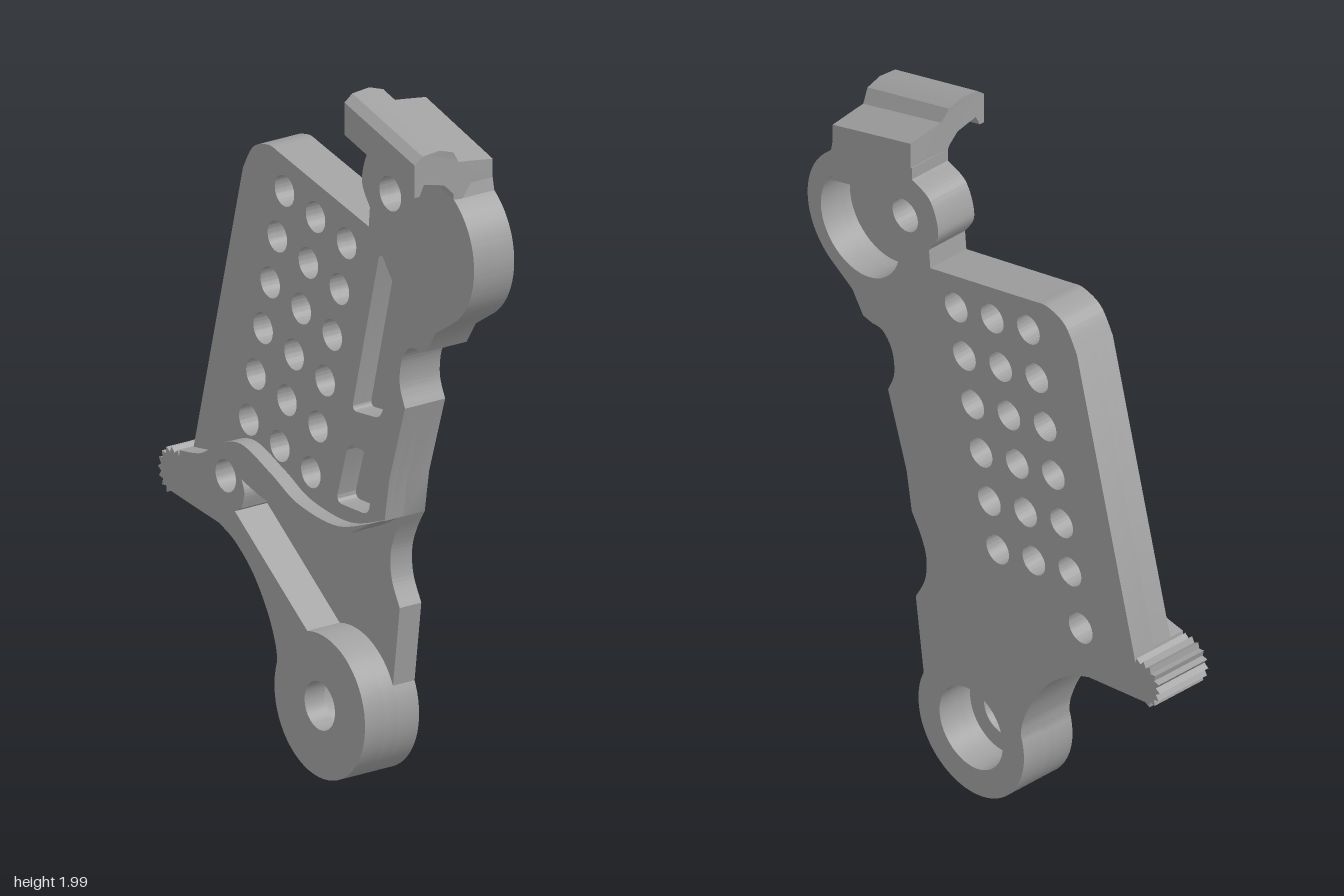
import * as THREE from 'three';
import { toCreasedNormals } from 'three/addons/utils/BufferGeometryUtils.js';

const BOSS = [0.045, 0.208], HEAD = [0.455, 1.595], PIVOT = [-0.37, 0.725], TOP_HOLE = [0.295, 1.7];
const v = (pts) => pts.map(([x, y]) => new THREE.Vector2(x, y));

const lines = (s, pts) => pts.forEach(([x, y]) => s.lineTo(x, y));

function circle([x, y], r) {
  const p = new THREE.Path();
  p.absarc(x, y, r, 0, Math.PI * 2, true);
  return p;
}

// Polygon with rounded corners, used for the pockets
function rounded(pts, r) {
  const p = new THREE.Path(), q = v(pts), n = q.length;
  q.forEach((c, i) => {
    const toward = (o) => c.clone().add(o.clone().sub(c).setLength(r));
    const a = toward(q[(i + n - 1) % n]), b = toward(q[(i + 1) % n]);
    if (i === 0) p.moveTo(a.x, a.y); else p.lineTo(a.x, a.y);
    p.quadraticCurveTo(c.x, c.y, b.x, b.y);
  });
  p.closePath();
  return p;
}

// Serrated end of the tab, running from its top round to its underside
function teeth(s) {
  const n = 18;
  for (let i = 0; i <= n; i++) {
    const a = THREE.MathUtils.degToRad(65 + (190 * i) / n), r = i % 2 ? 0.07 : 0.056;
    s.lineTo(-0.6 + r * Math.cos(a), 0.665 + r * Math.sin(a));
  }
}

// Concave underside from the tab down to the lower boss
function underside(s) {
  s.moveTo(-0.4, 0.585);
  s.splineThru(v([[-0.33, 0.555], [-0.25, 0.49], [-0.185, 0.4], [-0.15, 0.32], [-0.143, 0.275]]));
}

// Right edge of the arm, the head and the perforated plate
function upperEdge(s) {
  lines(s, [[0.29, 0.9], [0.36, 1.12]]);
  s.splineThru(v([[0.337, 1.18], [0.345, 1.25], [0.38, 1.295], [0.42, 1.3]]));
  lines(s, [[0.455, 1.307], [0.495, 1.37]]);
  s.absarc(...HEAD, 0.21, -0.95, 0.95, false);
  lines(s, [[0.57, 1.8], [0.27, 1.86], [0.27, 1.825]]);
  s.splineThru(v([[0.2, 1.79], [0.17, 1.7], [0.205, 1.635]]));
  lines(s, [[0.2, 1.58], [-0.2, 1.669]]);
  s.splineThru(v([[-0.245, 1.675], [-0.31, 1.65], [-0.355, 1.58]]));
  s.lineTo(-0.573, 0.735);
}

function backOutline() {
  const s = new THREE.Shape();
  underside(s);
  s.absarc(...BOSS, 0.2, 2.8, Math.PI * 2 + 0.45, false);
  s.lineTo(0.255, 0.52);
  s.splineThru(v([[0.22, 0.59], [0.215, 0.66], [0.235, 0.72], [0.27, 0.78]]));
  upperEdge(s);
  teeth(s);
  s.closePath();
  return s;
}

function upperOutline() {
  const s = new THREE.Shape();
  s.moveTo(0.27, 0.78);
  upperEdge(s);
  lines(s, [[-0.45, 0.75], [-0.4, 0.79], [-0.3, 0.8], [-0.17, 0.76], [-0.05, 0.72], [0.1, 0.71]]);
  s.closePath();
  return s;
}

function raisedOutline() {
  const s = new THREE.Shape();
  underside(s);
  s.absarc(...BOSS, 0.2, 2.8, Math.PI * 2 + 1.85, false);
  lines(s, [[-0.33, 0.638], [-0.3, 0.655]]);
  s.splineThru(v([[-0.288, 0.7], [-0.3, 0.735]]));
  s.splineThru(v([[-0.2, 0.71], [-0.05, 0.69], [0.12, 0.705], [0.275, 0.785]]));
  s.splineThru(v([[0.12, 0.732], [-0.05, 0.742], [-0.17, 0.79], [-0.3, 0.833], [-0.4, 0.805], [-0.48, 0.755], [-0.573, 0.735]]));
  teeth(s);
  s.closePath();
  return s;
}

export function createModel() {
  const group = new THREE.Group();
  const metal = new THREE.MeshStandardMaterial({ color: 0xa0a0a0 });
  metal.name = 'grey metal';

  const add = (name, geometry) => {
    const mesh = new THREE.Mesh(toCreasedNormals(geometry, 0.5), metal);
    mesh.name = name;
    group.add(mesh);
  };
  const slab = (name, shape, holes, z0, z1) => {
    shape.holes.push(...holes);
    const g = new THREE.ExtrudeGeometry(shape, { depth: z1 - z0, bevelEnabled: false, curveSegments: 24 });
    add(name, g.translate(0, 0, z0));
  };

  // Three by six grid of holes in the plate
  const grid = [];
  for (let r = 0; r < 6; r++)
    for (let c = 0; c < 3; c++)
      grid.push(circle([-0.172 + 0.137 * c - 0.0315 * r, 1.568 - 0.032 * c - 0.137 * r], 0.043));

  const topHole = circle(TOP_HOLE, 0.048), pivot = circle(PIVOT, 0.045);
  const headPocket = circle([0.465, 1.585], 0.15);
  const bossBore = circle(BOSS, 0.12), bossHole = circle(BOSS, 0.067);
  const pockets = [
    rounded([[0.125, 1.045], [0.25, 1.06], [0.31, 1.2], [0.41, 1.4], [0.325, 1.43], [0.25, 1.53]], 0.025),
    rounded([[0.055, 0.77], [0.2, 0.775], [0.225, 0.945], [0.11, 0.95]], 0.03),
  ];

  // Back layer spans everything; its front is the floor of the pockets and web
  slab('backPlate', backOutline(), [...grid, topHole, pivot, headPocket, bossBore], -0.13, -0.06);

  // Plate, arm and head
  slab('upperBody', upperOutline(), [...grid, ...pockets, topHole, headPocket], -0.06, -0.025);
  slab('upperFace', upperOutline(), [...grid, ...pockets, topHole], -0.025, 0);

  // Tab, curved ridge, lower arm and boss standing proud of the plate
  slab('lowerArm', raisedOutline(), [pivot, bossBore], -0.06, -0.02);
  slab('lowerArmFace', raisedOutline(), [pivot, bossHole], -0.02, 0.045);

  // Hook over the head: a side profile (z, y) swept along x and sloped down
  const profile = new THREE.Shape(v([
    [-0.13, 1.76], [-0.03, 1.76], [-0.005, 1.83], [0.005, 1.87], [0.035, 1.9], [0.1, 1.915], [0.115, 1.885],
    [0.13, 1.885], [0.13, 1.975], [0.105, 1.995], [0.05, 2], [0.005, 1.985], [-0.02, 1.95], [-0.06, 1.945], [-0.13, 1.935],
  ]));
  const hook = new THREE.ExtrudeGeometry(profile, { depth: 0.31, bevelEnabled: false });
  hook.rotateY(-Math.PI / 2).translate(0.58, 0, 0);
  const p = hook.attributes.position;
  for (let i = 0; i < p.count; i++) {
    const x = p.getX(i), z = p.getZ(i);
    p.setY(i, p.getY(i) - 0.27 * (x - 0.27));
    if (z < 0) p.setX(i, THREE.MathUtils.clamp(x, 0.275, 0.57));
  }
  hook.computeVertexNormals();
  add('hook', hook);

  return group;
}
